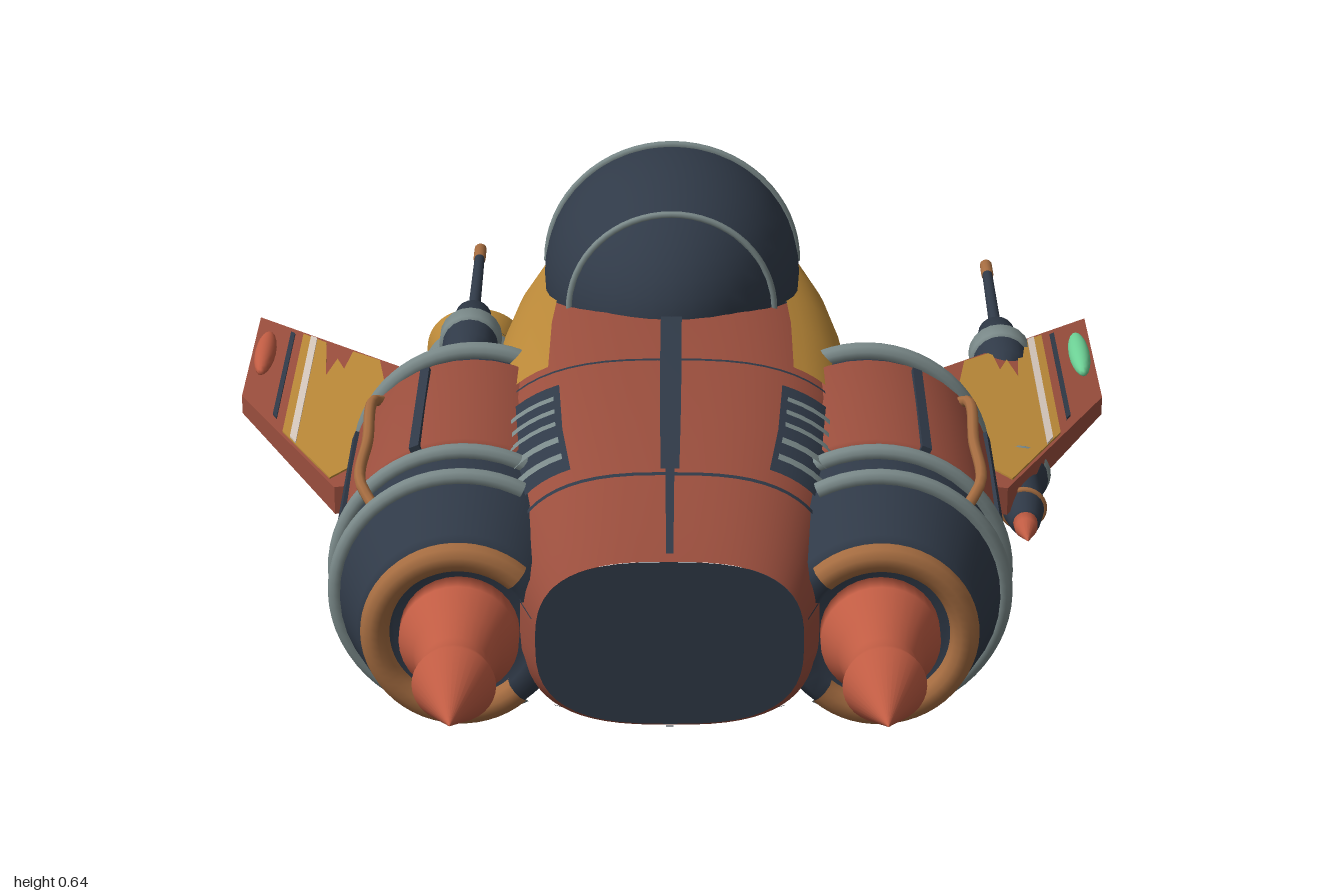
import * as THREE from 'three';
import { mergeVertices } from 'three/addons/utils/BufferGeometryUtils.js';

const flat = (name, color) => {
  const m = new THREE.MeshStandardMaterial({ color });
  m.name = name;
  return m;
};

export function createModel() {
  const root = new THREE.Group();
  root.name = 'spacecraft';
  const rust = flat('rust', 0x9a4e3d), orange = flat('orange', 0xc05c43), yellow = flat('yellow', 0xba8838);
  const dark = flat('dark', 0x303a48), grey = flat('grey', 0x7a8989), copper = flat('copper', 0xa66d41);
  const green = flat('green', 0x6ccf94), pale = flat('pale', 0xd6c8bd);
  const PI = Math.PI, rad = THREE.MathUtils.degToRad;

  const add = (name, geo, mat, parent = root) => {
    const mesh = new THREE.Mesh(geo, mat);
    mesh.name = name;
    parent.add(mesh);
    return mesh;
  };

  // Lofted body: sections are [z, half width, bottom, top], n is the squareness
  const loft = (sections, n, cx = 0) => {
    const point = (t, z, off) => {
      let i = 0;
      while (i < sections.length - 2 && z > sections[i + 1][0]) i++;
      const a = sections[i], b = sections[i + 1], k = (z - a[0]) / (b[0] - a[0]);
      const [w, lo, hi] = [1, 2, 3].map(j => a[j] + (b[j] - a[j]) * k);
      const c = Math.cos(t), s = Math.sin(t);
      return [
        cx + (w + off) * Math.sign(c) * Math.abs(c) ** (2 / n),
        (lo + hi) / 2 + ((hi - lo) / 2 + off) * Math.sign(s) * Math.abs(s) ** (2 / n), z];
    };
    const grid = (t0, t1, zs, off, nt) => {
      const pos = [], idx = [];
      zs.forEach((z, j) => {
        for (let i = 0; i <= nt; i++) pos.push(...point(t0 + (t1 - t0) * i / nt, z, off));
        if (!j) return;
        for (let i = 0; i < nt; i++) {
          const a = (j - 1) * (nt + 1) + i, b = a + nt + 1;
          idx.push(a, a + 1, b, a + 1, b + 1, b);
        }
      });
      const g = new THREE.BufferGeometry();
      g.setAttribute('position', new THREE.Float32BufferAttribute(pos, 3));
      g.setIndex(idx);
      const welded = mergeVertices(g, 1e-5);
      welded.computeVertexNormals();
      return welded;
    };
    const patch = (t0, t1, z0, z1, off) => {
      const zs = [z0, ...sections.map(s => s[0]).filter(z => z > z0 + 0.001 && z < z1 - 0.001), z1];
      return grid(t0, t1, zs, off, Math.max(2, Math.ceil(Math.abs(t1 - t0) * 10)));
    };
    const cap = (z, dir) => {
      const pts = [];
      for (let i = 0; i < 48; i++) {
        const p = point(i / 48 * PI * 2, z, 0);
        pts.push(new THREE.Vector2(p[0] * dir, p[1]));
      }
      const g = new THREE.ShapeGeometry(new THREE.Shape(pts));
      if (dir < 0) g.rotateY(PI);
      return g.translate(0, 0, z + dir * 0.001);
    };
    // angle on the upper surface at a fraction of the half width
    const angle = f => Math.acos(f ** (n / 2));
    return { patch, cap, angle };
  };

  // Revolved part along z from [radius, z] pairs
  const turned = (pts, seg = 32) =>
    new THREE.LatheGeometry(pts.map(p => new THREE.Vector2(...p)), seg).rotateX(PI / 2);

  // Hull, end faces and panel seams
  const hull = loft([
    [-1, 0.122, 0.18, 0.275], [-0.815, 0.145, 0.142, 0.35], [-0.81, 0.15, 0.138, 0.355],
    [-0.55, 0.235, 0.09, 0.42], [-0.38, 0.27, 0.06, 0.44], [-0.2, 0.29, 0.045, 0.458], [0, 0.3, 0.038, 0.483],
    [0.25, 0.3, 0.04, 0.49], [0.45, 0.28, 0.048, 0.482], [0.6, 0.245, 0.065, 0.455],
    [0.7, 0.22, 0.09, 0.415], [0.75, 0.2, 0.118, 0.386]], 2.8);
  add('hull', hull.patch(0, PI * 2, -1, 0.75, 0), rust);
  add('frontFace', hull.cap(0.75, 1), dark);
  add('tailFace', hull.cap(-1, -1), dark);
  for (const z of [-0.81, -0.52, -0.13, 0.23, 0.595])
    add('hullRingSeam', hull.patch(0, PI * 2, z - 0.004, z + 0.004, 0.003), dark);
  for (const deg of [90, 270, 8, 172, 225, 315])
    add('hullLongSeam', hull.patch(rad(deg - 0.35), rad(deg + 0.35), -0.98, 0.74, 0.003), dark);
  add('spineSeam', hull.patch(rad(89), rad(91), 0.03, 0.585, 0.005), dark);
  add('tailSlot', new THREE.BoxGeometry(0.03, 0.02, 0.31), dark).position.set(0, 0.338, -0.835);
  root.children.at(-1).rotation.x = -0.37;

  // Painted strips, tail panels and louvres on both shoulders
  for (const s of [1, -1]) {
    const shoulder = (name, f0, f1, z0, z1, off, mat) => {
      let a = hull.angle(f1), b = hull.angle(f0);
      if (s < 0) [a, b] = [PI - b, PI - a];
      add(name, hull.patch(a, b, z0, z1, off), mat);
    };
    shoulder('yellowStrip', 0.64, 0.95, -0.55, 0.2, 0.004, yellow);
    shoulder('tailPanel', 0.66, 0.9, -0.77, -0.61, 0.004, grey);
    shoulder('ventBed', 0.58, 0.88, 0.29, 0.56, 0.005, dark);
    for (let i = 0; i < 5; i++)
      shoulder('ventSlat', 0.6, 0.88, 0.345 + i * 0.045, 0.36 + i * 0.045, 0.013, grey);
  }

  // Canopy with two hoops
  const canopy = new THREE.Group();
  canopy.name = 'canopy';
  canopy.position.set(0, 0.435, -0.295);
  canopy.rotation.x = -0.08;
  root.add(canopy);
  add('canopyGlass', new THREE.SphereGeometry(1, 40, 24).scale(0.215, 0.205, 0.345), dark, canopy);
  for (const z of [0.215, -0.065]) {
    const k = Math.sqrt(1 - (z / 0.345) ** 2);
    add('canopyHoop', new THREE.TorusGeometry(1, 0.035, 8, 32, PI).scale(0.215 * k, 0.207 * k, 0.2), grey, canopy)
      .position.z = z;
  }

  // Side pod under one engine
  const pod = loft([
    [-0.62, 0.088, 0.075, 0.235], [-0.53, 0.07, 0.075, 0.23], [-0.52, 0.082, 0.065, 0.24], [-0.36, 0.115, 0.03, 0.26],
    [-0.15, 0.145, 0.008, 0.28], [0.02, 0.152, 0.0, 0.29], [0.2, 0.135, 0.012, 0.27], [0.36, 0.06, 0.06, 0.2]], 2.2, -0.35);
  add('pod', pod.patch(0, PI * 2, -0.62, 0.36, 0), yellow);
  add('podTailFace', pod.cap(-0.62, -1), dark);
  for (const z of [-0.52, -0.36, -0.15, 0.02, 0.2])
    add('podRingSeam', pod.patch(0, PI * 2, z - 0.003, z + 0.003, 0.003), dark);
  for (const deg of [30, 90, 150, 210, 270, 330])
    add('podLongSeam', pod.patch(rad(deg - 1), rad(deg + 1), -0.52, 0.34, 0.002), dark);
  add('podRustPatch', pod.patch(rad(60), rad(105), -0.42, -0.3, 0.004), rust);
  for (const a of [40, 118]) add('podPanel', pod.patch(rad(a), rad(a + 22), -0.5, -0.4, 0.004), grey);

  for (const s of [1, -1]) {
    // Engine: core, cowling, open rings, spike
    const engine = new THREE.Group();
    engine.name = s > 0 ? 'leftEngine' : 'rightEngine';
    engine.position.set(s * 0.315, 0.243, 0);
    root.add(engine);
    add('engineCore', turned([[0, -0.05], [0.09, -0.045], [0.145, -0.02], [0.178, 0.04], [0.193, 0.12], [0.195, 0.5],
      [0.188, 0.58], [0.155, 0.68], [0.14, 0.7], [0.11, 0.7], [0.1, 0.68], [0, 0.68]], 40), dark, engine);
    add('engineCowling', turned([[0.19, 0.12], [0.205, 0.125], [0.207, 0.28], [0.205, 0.44], [0.19, 0.445]], 40), rust, engine);
    const ring = (name, R, tube, half, z, mat) => {
      const m = add(name, new THREE.TorusGeometry(R, tube, 10, 40, rad(half * 2)), mat, engine);
      m.rotation.z = s > 0 ? -rad(half) : PI - rad(half);
      m.position.z = z;
    };
    ring('engineRing', 0.19, 0.016, 118, 0.055, grey);
    ring('engineRing', 0.2, 0.014, 118, 0.48, grey);
    ring('engineRing', 0.194, 0.014, 118, 0.56, grey);
    ring('mouthRing', 0.127, 0.022, 133, 0.7, copper);
    add('spike', turned([[0, 0.69], [0.09, 0.69], [0.09, 0.725], [0.066, 0.77], [0.053, 0.82], [0.056, 0.85],
      [0.062, 0.87], [0, 1]]), orange, engine);

    // Cowling slots and pipes, placed round the outer side
    for (const deg of [68, 22, -5, -68]) {
      const slot = add('cowlingSlot', new THREE.BoxGeometry(0.014, 0.016, 0.31), dark, engine);
      slot.position.set(s * 0.204 * Math.cos(rad(deg)), 0.204 * Math.sin(rad(deg)), 0.295);
      slot.rotation.z = s * rad(deg);
    }
    for (const deg of [43, -38]) {
      const path = new THREE.CatmullRomCurve3([[0.19, 0.13], [0.218, 0.16], [0.218, 0.32], [0.218, 0.48], [0.19, 0.52]]
        .map(([r, z]) => new THREE.Vector3(s * r * Math.cos(rad(deg)), r * Math.sin(rad(deg)), z)));
      add('fuelPipe', new THREE.TubeGeometry(path, 20, 0.009, 8), copper, engine);
    }

    // Wing with thin painted plates on top
    const plate = (name, pts, mat, onTop) => {
      const shape = new THREE.Shape(pts.map(([x, z]) => new THREE.Vector2(s * x, -z)));
      const g = new THREE.ExtrudeGeometry(shape, { depth: 1, bevelEnabled: false }).rotateX(-PI / 2);
      const p = g.attributes.position;
      for (let i = 0; i < p.count; i++) {
        const d = Math.abs(p.getX(i)) - 0.5, h = p.getY(i);
        const low = 0.212 - 0.05 * d, high = 0.262 - 0.13 * d;
        p.setY(i, onTop ? high - 0.002 + h * onTop : low + (high - low) * h);
      }
      g.computeVertexNormals();
      return add(name, g, mat);
    };
    plate('wing', [[0.29, 0.2], [0.29, -0.09], [0.44, -0.25], [0.73, -0.585], [0.73, -0.23], [0.54, 0.2]], rust);
    plate('wingYellow', [[0.5, 0.11], [0.46, -0.03], [0.5, -0.31], [0.55, -0.365], [0.56, -0.29], [0.575, -0.34],
      [0.59, -0.27], [0.6, -0.42], [0.645, -0.475], [0.645, -0.05], [0.55, 0.165]], yellow, 0.005);
    plate('paleStripe', [[0.618, -0.44], [0.63, -0.454], [0.63, -0.02], [0.618, 0.01]], pale, 0.008);
    plate('darkStripe', [[0.66, -0.48], [0.668, -0.49], [0.668, -0.13], [0.66, -0.11]], dark, 0.006);
    plate('chevron', [[0.355, -0.06], [0.42, -0.14], [0.43, -0.05], [0.418, -0.05], [0.41, -0.115], [0.365, -0.05]], pale, 0.006);
    add('tipLight', new THREE.SphereGeometry(1, 20, 12).scale(0.018, 0.018, 0.09), s > 0 ? green : orange)
      .position.set(s * 0.705, 0.24, -0.4);

    // Gun with long barrel
    const gun = new THREE.Group();
    gun.name = s > 0 ? 'leftGun' : 'rightGun';
    gun.position.set(s > 0 ? 0.57 : -0.35, s > 0 ? 0.205 : 0.235, 0);
    gun.rotation.x = 0.045;
    root.add(gun);
    add('barrel', turned([[0, -0.8], [0.009, -0.8], [0.011, -0.5]], 12), dark, gun);
    add('muzzle', turned([[0, -0.82], [0.011, -0.82], [0.011, -0.775], [0, -0.775]], 12), copper, gun);
    add('gunBody', turned([[0, -0.525], [0.032, -0.525], [0.04, -0.46], [0.05, -0.45], [0.046, -0.36], [0.03, -0.34],
      [0.03, -0.1]], 20), dark, gun);
    add('gunCollar', turned([[0.04, -0.45], [0.054, -0.445], [0.054, -0.41], [0.04, -0.405]], 20), grey, gun);
    if (s > 0) {
      add('gunFront', turned([[0.03, -0.1], [0.045, -0.05], [0.048, 0.05], [0.035, 0.07], [0.035, 0.15], [0.024, 0.2], [0, 0.2]], 20), dark, gun);
      add('gunFrontCollar', new THREE.TorusGeometry(0.046, 0.008, 8, 24), grey, gun).position.z = 0.03;
      add('gunFrontBand', new THREE.TorusGeometry(0.033, 0.006, 8, 24), copper, gun).position.z = 0.15;
      add('gunTip', turned([[0, 0.195], [0.02, 0.195], [0.018, 0.22], [0, 0.265]], 16), orange, gun);
    }
  }
  return root;
}
